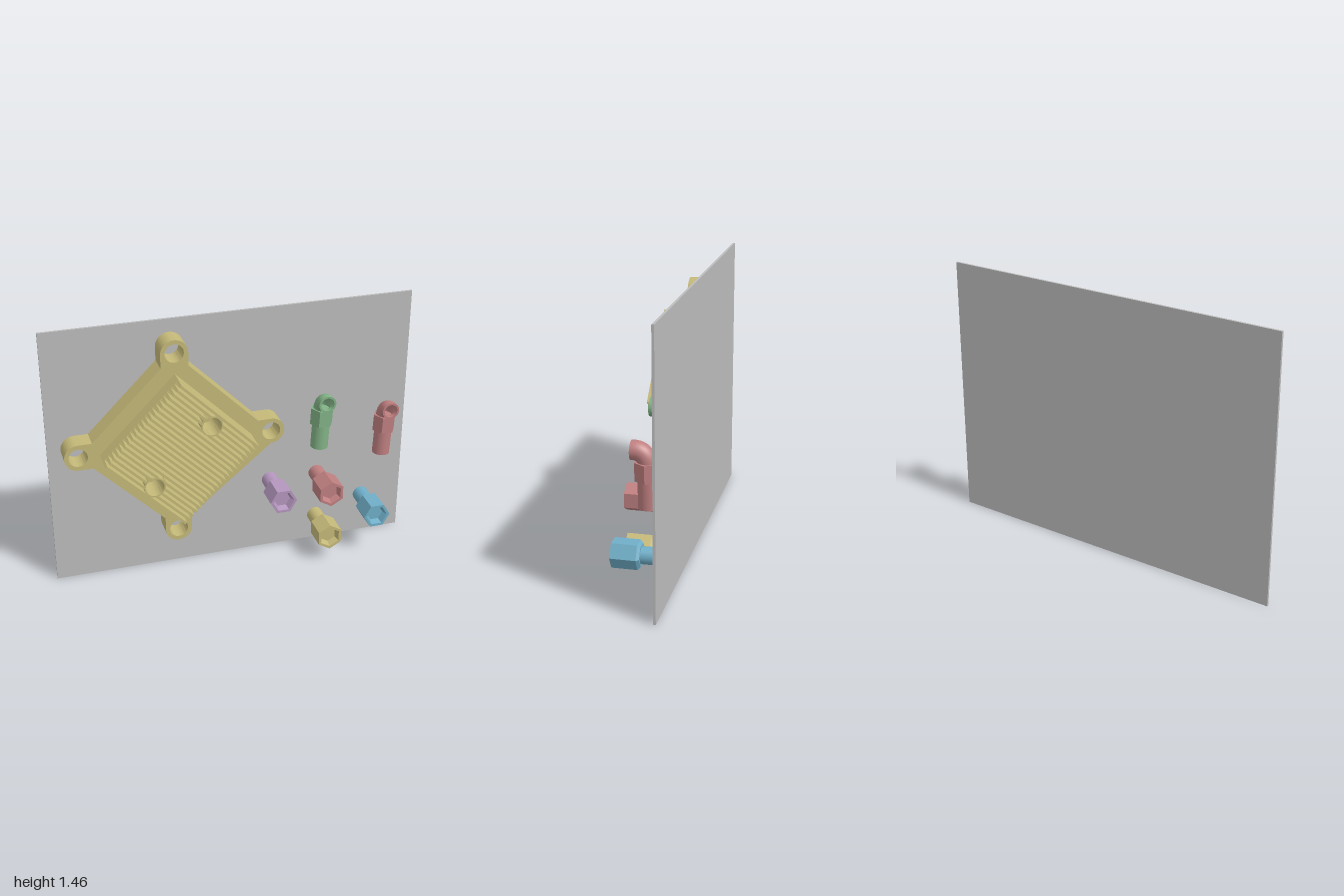
import * as THREE from 'three';
import { toCreasedNormals } from 'three/addons/utils/BufferGeometryUtils.js';

const material = (name, color, side = THREE.FrontSide) => {
  const m = new THREE.MeshStandardMaterial({ color, side });
  m.name = name;
  return m;
};

function add(parent, name, geometry, mat, x = 0, y = 0, z = 0) {
  const mesh = new THREE.Mesh(geometry, mat);
  mesh.name = name;
  mesh.position.set(x, y, z);
  parent.add(mesh);
  return mesh;
}

function group(parent, name, x, y, z = 0) {
  const g = new THREE.Group();
  g.name = name;
  g.position.set(x, y, z);
  parent.add(g);
  return g;
}

// Extrudes a shape from z0 to z1
function slab(shape, z0, z1) {
  const g = new THREE.ExtrudeGeometry(shape, { depth: z1 - z0, bevelEnabled: false, curveSegments: 28 });
  g.translate(0, 0, z0);
  return toCreasedNormals(g, 0.5);
}

const circle = (x, y, r) => new THREE.Path().absarc(x, y, r, 0, Math.PI * 2, true);

// Six-sided flat-faced lathe from [radius, height] pairs, bottom to top
function hexLathe(profile) {
  const g = new THREE.LatheGeometry(profile.map(([r, h]) => new THREE.Vector2(r, h)), 6).toNonIndexed();
  g.computeVertexNormals();
  return g;
}

// Square cooling block standing on one corner
function buildBlock(root, mat) {
  const block = group(root, 'coolingBlock', -0.335, 0.795);

  // Mounting frame with four lugs
  const outline = new THREE.Shape();
  const lug = 0.52, r = 0.073, neck = 0.445;
  for (let k = 0; k < 4; k++) {
    const a = k * Math.PI / 2, c = Math.cos(a), s = Math.sin(a);
    const at = (u, v) => [u * c - v * s, u * s + v * c];
    if (k === 0) outline.moveTo(...at(neck, -r)); else outline.lineTo(...at(neck, -r));
    outline.absarc(lug * c, lug * s, r, a - Math.PI / 2, a + Math.PI / 2, false);
    outline.lineTo(...at(neck, r));
    outline.holes.push(circle(lug * c, lug * s, 0.05));
  }
  add(block, 'mountingFrame', slab(outline, -0.122, -0.01), mat);

  // Raised square with two ports
  const core = group(block, 'finnedCore', 0, 0);
  core.rotation.z = Math.PI / 4;
  const h = 0.288, port = 0.219, portR = 0.05;
  const square = new THREE.Shape([[-h, -h], [h, -h], [h, h], [-h, h]].map(p => new THREE.Vector2(...p)));
  for (const s of [-1, 1]) square.holes.push(circle(s * port, 0, portR));
  add(core, 'coreBase', slab(square, -0.01, 0.06), mat);

  // Fins, interrupted by the ports
  const count = 21, t = 2 * h / (2 * count - 1), zMid = 0.0975, depth = 0.075;
  for (let i = 0; i < count; i++) {
    const x = -h + t / 2 + i * 2 * t;
    const d = Math.abs(x) - port;
    const cut = Math.abs(d) < 0.055 ? Math.sqrt(0.055 ** 2 - d * d) : 0;
    if (cut === 0) {
      add(core, 'fin', new THREE.BoxGeometry(t, 2 * h, depth), mat, x, 0, zMid);
    } else {
      for (const s of [-1, 1])
        add(core, 'fin', new THREE.BoxGeometry(t, h - cut, depth), mat, x, s * (h + cut) / 2, zMid);
    }
  }
  for (const s of [-1, 1]) {
    const ring = new THREE.Shape().absarc(0, 0, 0.058, 0, Math.PI * 2, false);
    ring.holes.push(circle(0, 0, portR));
    add(core, 'portSleeve', slab(ring, 0.06, 0.135), mat, s * port, 0, 0);
  }
}

// Straight fitting: hexagonal socket in front, round stem behind
function buildStraight(root, name, x, y, mat, pointUp) {
  const f = group(root, name, x, y);
  const hex = hexLathe([[0, -0.01], [0.06, -0.01], [0.075, 0.004], [0.075, 0.135],
    [0.059, 0.135], [0.046, 0.1], [0, 0.1]]);
  // Lathe corners start on the z axis, which becomes the vertical one
  if (!pointUp) hex.rotateY(Math.PI / 6);
  hex.rotateX(Math.PI / 2);
  add(f, 'hexSocket', hex, mat);
  const stem = new THREE.CylinderGeometry(0.044, 0.044, 0.115, 32);
  stem.rotateX(Math.PI / 2);
  add(f, 'stem', stem, mat, 0, 0, -0.0645);
}

// Elbow fitting: mouth faces forward, stem points down
function buildElbow(root, name, x, y, mat, innerMat) {
  const f = group(root, name, x, y);
  f.rotation.z = -0.05;
  const bend = 0.06, axis = -0.065;
  const path = new THREE.CurvePath();
  const v = (yy, z) => new THREE.Vector3(0, yy, z);
  path.add(new THREE.LineCurve3(v(0, 0.01), v(0, axis + bend)));
  const k = bend * 0.4477;
  path.add(new THREE.CubicBezierCurve3(v(0, axis + bend), v(0, axis + k), v(-k, axis), v(-bend, axis)));
  add(f, 'elbowOutside', new THREE.TubeGeometry(path, 24, 0.048, 28), mat);
  add(f, 'elbowInside', new THREE.TubeGeometry(path, 24, 0.037, 28), innerMat);
  add(f, 'mouthRim', new THREE.RingGeometry(0.037, 0.048, 28), mat, 0, 0, 0.01);

  const nut = hexLathe([[0, -0.145], [0.064, -0.145], [0.064, -0.052], [0, -0.052]]);
  nut.rotateY(Math.PI / 2);
  add(f, 'hexNut', nut, mat, 0, 0, axis);
  add(f, 'stem', new THREE.CylinderGeometry(0.048, 0.048, 0.145, 32), mat, 0, -0.2145, axis);
}

export function createModel() {
  const root = new THREE.Group();
  root.name = 'fittingsDisplay';
  const grey = material('panelGrey', 0xbcbcbc);
  const tan = material('tan', 0xc4b878);
  const green = material('green', 0x82b286, THREE.DoubleSide);
  const red = material('rose', 0xbf7f80, THREE.DoubleSide);
  const purple = material('lilac', 0xb496bd);
  const blue = material('blue', 0x6faec8);

  add(root, 'backPanel', new THREE.BoxGeometry(2, 1.46, 0.013), grey, 0, 0.73, -0.1285);
  buildBlock(root, tan);
  buildStraight(root, 'lilacFitting', 0.215, 0.43, purple, false);
  buildStraight(root, 'roseFitting', 0.49, 0.43, red, true);
  buildStraight(root, 'tanFitting', 0.49, 0.152, tan, true);
  buildStraight(root, 'blueFitting', 0.765, 0.243, blue, false);
  buildElbow(root, 'greenElbow', 0.495, 0.915, green, green);
  buildElbow(root, 'roseElbow', 0.865, 0.822, red, red);
  return root;
}
